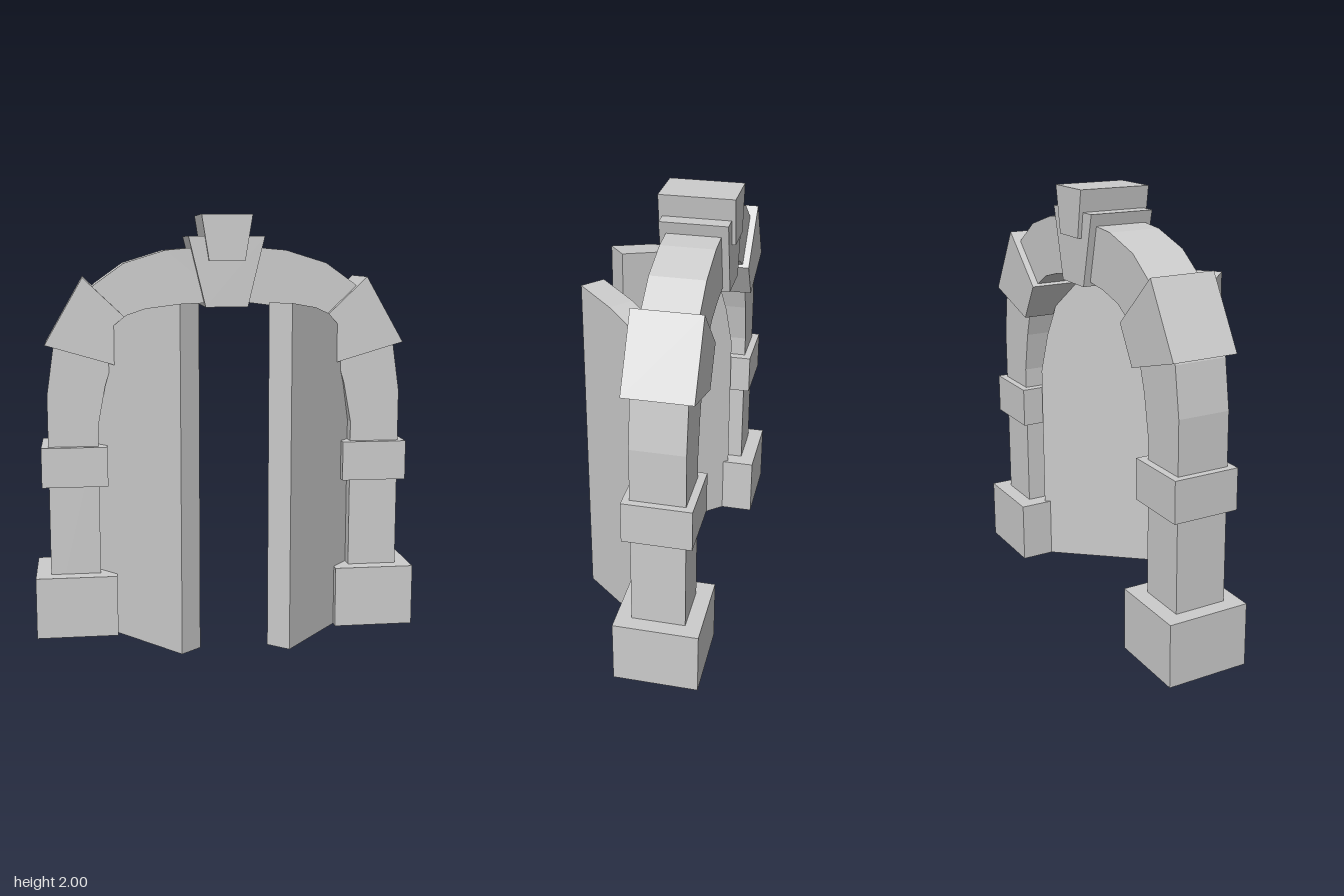
import * as THREE from 'three';

const material = new THREE.MeshStandardMaterial({ color: 0xcccccc, flatShading: true });

// Right half of the arch curves, from springing to crown
const inner = [[0.61, 1.01], [0.575, 1.2], [0.53, 1.35], [0.45, 1.48], [0.35, 1.54], [0.22, 1.575], [0, 1.603]];
const outer = [[0.847, 1.16], [0.815, 1.38], [0.74, 1.54], [0.62, 1.675], [0.48, 1.775], [0.285, 1.835], [0, 1.86]];
const flip = (points) => points.map(([x, y]) => [-x, y]);

// Extrudes a polygon in the xy plane between two depths
function slab(name, points, back, front) {
  const shape = new THREE.Shape(points.map(([x, y]) => new THREE.Vector2(x, y)));
  const geometry = new THREE.ExtrudeGeometry(shape, { depth: front - back, bevelEnabled: false });
  geometry.translate(0, 0, back);
  const mesh = new THREE.Mesh(geometry, material);
  mesh.name = name;
  return mesh;
}

function block(name, x, y, z, w, h, d) {
  const mesh = new THREE.Mesh(new THREE.BoxGeometry(w, h, d), material);
  mesh.name = name;
  mesh.position.set(x, y, z);
  return mesh;
}

// Tapered stone, narrow end at the bottom
const wedge = (name, bottom, top, y0, y1, back, front) =>
  slab(name, [[-bottom, y0], [bottom, y0], [top, y1], [-top, y1]], back, front);

export function createModel() {
  const model = new THREE.Group();
  model.name = 'archway';

  // Pillars and arch ring as one continuous band
  const ring = [
    [0.847, 0], ...outer, ...flip(outer).reverse().slice(1), [-0.847, 0],
    [-0.61, 0], ...flip(inner), ...inner.slice(0, -1).reverse(), [0.61, 0],
  ];
  model.add(slab('archRing', ring, -0.268, -0.025));

  // Crown stones
  model.add(wedge('keystone', 0.1, 0.18, 1.57, 1.9, -0.3, 0.005));
  model.add(wedge('keystoneCap', 0.085, 0.12, 1.785, 2, -0.318, 0.022));

  for (const side of [1, -1]) {
    const label = side > 0 ? 'left' : 'right';

    // Pillar base and collar
    model.add(block(label + 'Base', side * 0.725, 0.147, -0.148, 0.386, 0.294, 0.386));
    model.add(block(label + 'Collar', side * 0.724, 0.82, -0.148, 0.312, 0.19, 0.308));

    // Haunch stone, a wedge tilted with the ring
    const haunch = wedge(label + 'HaunchStone', 0.1, 0.18, -0.165, 0.165, -0.3, 0.005);
    haunch.position.set(side * 0.62, 1.472, 0);
    haunch.rotation.z = -side * Math.PI / 3;
    model.add(haunch);

    // Open door leaf, cut to the inner arch curve
    const half = [[0, 0], [0.61, 0], ...inner];
    const door = slab(label + 'Door', side > 0 ? half : flip(half), -0.12, 0);
    door.position.set(side * 0.25, 0, 0.338);
    door.rotation.y = side * 0.87;
    model.add(door);
  }

  return model;
}
